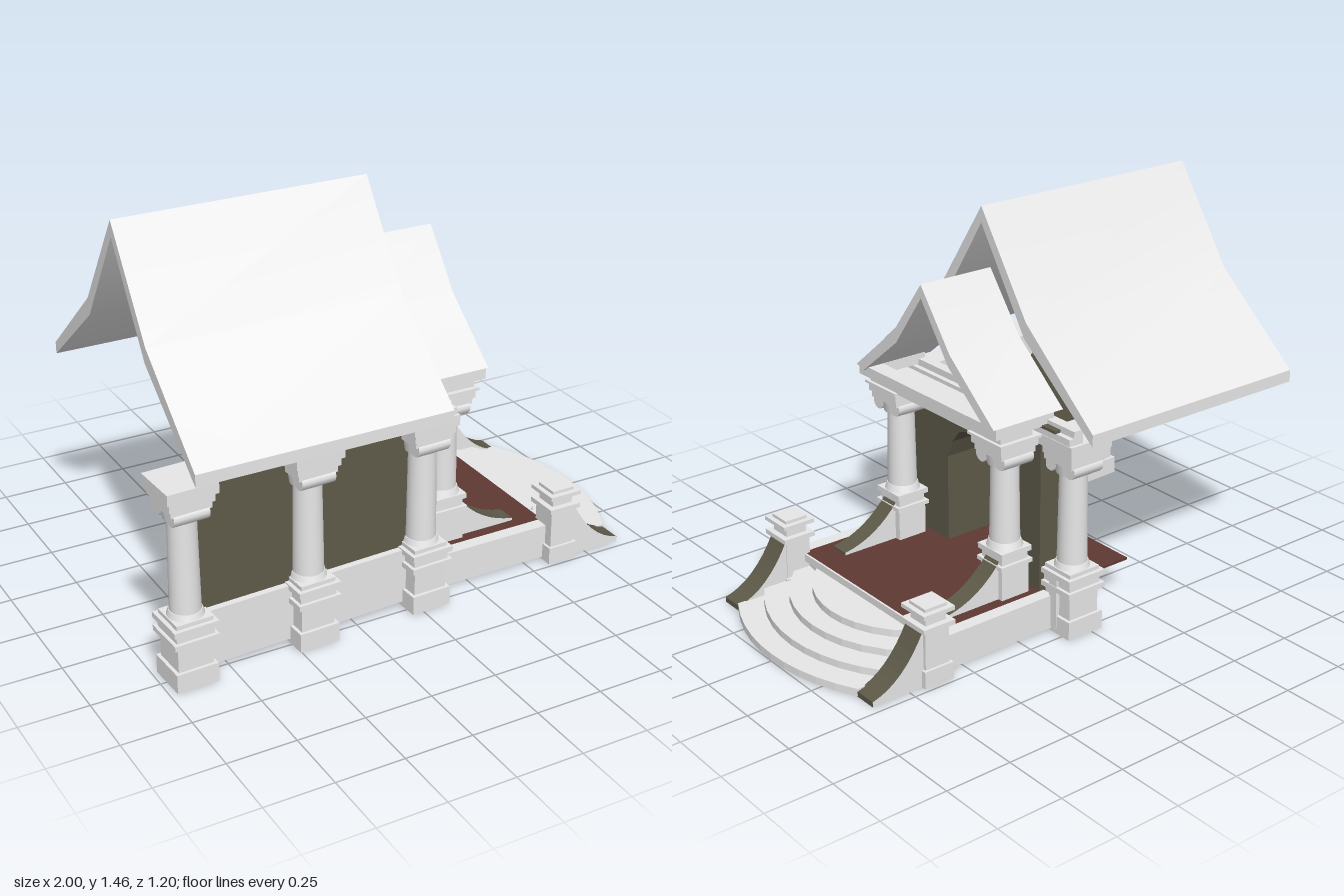
import * as THREE from 'three';
import { toCreasedNormals } from 'three/addons/utils/BufferGeometryUtils.js';

const stone = new THREE.MeshStandardMaterial({ color: 0xe7e7e7, side: THREE.DoubleSide });
const olive = new THREE.MeshStandardMaterial({ color: 0x5e5a49, side: THREE.DoubleSide });
const redFloor = new THREE.MeshStandardMaterial({ color: 0x603933, side: THREE.DoubleSide });
stone.name = 'pale stone';
olive.name = 'olive plaster';
redFloor.name = 'red floor';

function add(parent, name, geometry, material) {
  const mesh = new THREE.Mesh(geometry, material);
  mesh.name = name;
  parent.add(mesh);
  return mesh;
}

// Box given by its lower and upper limits on each axis
function box(parent, name, material, [x0, x1], [y0, y1], [z0, z1]) {
  const g = new THREE.BoxGeometry(x1 - x0, y1 - y0, z1 - z0);
  g.translate((x0 + x1) / 2, (y0 + y1) / 2, (z0 + z1) / 2);
  return add(parent, name, g, material);
}

// Centred square slab of a column or pillar
const slab = (parent, name, w, y0, y1) =>
  box(parent, name, stone, [-w / 2, w / 2], [y0, y1], [-w / 2, w / 2]);

const shapeOf = (points) => new THREE.Shape(points.map(([x, y]) => new THREE.Vector2(x, y)));

// Extrudes a (z, y) outline along x
function extrudeX(points, x0, x1) {
  const g = new THREE.ExtrudeGeometry(shapeOf(points), { depth: x1 - x0, bevelEnabled: false });
  g.rotateY(Math.PI / 2);
  g.translate(x0, 0, 0);
  return g;
}

// Completes a half outline that ends on the centre line
const mirrored = (half) => [...half, ...half.slice(0, -1).reverse().map(([z, y]) => [-z, y])];

// Band between two symmetric outlines
const band = (outer, inner) => [...mirrored(outer), ...mirrored(inner).reverse()];

// Column: square pedestal, round shaft and scrolled capital
function column(parent, name, x, z, pedestal, baseTop, capBottom) {
  const c = new THREE.Group();
  c.name = name;
  c.position.set(x, 0, z);
  pedestal.forEach(([w, y0, y1]) => slab(c, 'pedestal', w, y0, y1));
  const drum = (part, rTop, rBottom, y0, y1) => {
    const g = new THREE.CylinderGeometry(rTop, rBottom, y1 - y0, 20);
    g.translate(0, (y0 + y1) / 2, 0);
    add(c, part, g, stone);
  };
  drum('shaftFoot', 0.058, 0.066, baseTop - 0.025, baseTop);
  drum('shaft', 0.05, 0.055, baseTop, capBottom + 0.01);
  drum('capitalBell', 0.07, 0.062, capBottom, capBottom + 0.05);
  for (const s of [-1, 1]) {
    const scroll = new THREE.CylinderGeometry(0.03, 0.03, 0.13, 12);
    scroll.rotateZ(Math.PI / 2);
    scroll.translate(0, capBottom + 0.032, s * 0.05);
    add(c, 'capitalScroll', scroll, stone);
  }
  slab(c, 'capitalNeck', 0.15, capBottom + 0.045, capBottom + 0.07);
  slab(c, 'abacus', 0.165, capBottom + 0.07, capBottom + 0.1);
  slab(c, 'abacusTop', 0.185, capBottom + 0.1, 0.75);
  parent.add(c);
}

const mainPedestal = [
  [0.155, 0, 0.07], [0.13, 0.07, 0.165], [0.165, 0.165, 0.185], [0.14, 0.185, 0.215],
  [0.165, 0.215, 0.235], [0.135, 0.235, 0.25],
];
const porchPedestal = [
  [0.12, 0.14, 0.26], [0.14, 0.26, 0.275], [0.115, 0.275, 0.305], [0.135, 0.305, 0.325],
];

// Concave rail: stone cheeks and an olive sloping top
function rail(parent, name, x0, x1, yTop, yEnd, yBase, z, width) {
  const s = new THREE.Shape();
  s.moveTo(x0, yBase);
  s.lineTo(x1, yBase);
  s.lineTo(x1, yEnd);
  s.quadraticCurveTo(x0 + (x1 - x0) * 0.4, yEnd + (yTop - yEnd) * 0.15, x0, yTop);
  s.closePath();
  const g = new THREE.ExtrudeGeometry(s, { depth: width, bevelEnabled: false, curveSegments: 8 });
  g.translate(0, 0, z - width / 2);
  add(parent, name, g, [stone, olive]);
}

// Front edge of a step: circular arc clipped to the stair, as (x, z) points
function stepArc([reach, r]) {
  const half = Math.min(0.38, Math.sqrt(r * r - (r - reach + 0.6) ** 2));
  return Array.from({ length: 11 }, (_, k) => {
    const z = half * (k / 5 - 1);
    return [reach - r + Math.sqrt(r * r - z * z), z];
  });
}

export function createModel() {
  const model = new THREE.Group();
  model.name = 'pavilion';

  // Swept roofs with open gables, smooth over the bend
  const roof = (name, outer, inner, x0, x1) =>
    add(model, name, toCreasedNormals(extrudeX(band(outer, inner), x0, x1), 0.5), stone);
  roof('mainRoof',
    [[0.6, 0.8], [0.245, 1.1], [0, 1.46]],
    [[0.6, 0.755], [0.235, 1.04], [0, 1.4]], -0.89, 0.07);
  roof('porchRoof',
    [[0.4, 0.82], [0.16, 1.02], [0, 1.23]],
    [[0.36, 0.805], [0.15, 0.975], [0, 1.18]], 0.03, 0.335);

  // Long side: wall, plinth and colonnade on a slightly turned line
  const side = new THREE.Group();
  side.name = 'longSide';
  side.rotation.y = 0.043;
  model.add(side);
  box(side, 'sideWall', olive, [-0.88, 0.0], [0.23, 0.74], [0.425, 0.445]);
  box(side, 'sidePlinth', stone, [-0.96, 0.08], [0.02, 0.23], [0.42, 0.47]);
  box(side, 'sideCornice', stone, [-0.96, 0.05], [0.735, 0.75], [0.4, 0.47]);
  [-0.92, -0.45, 0.01].forEach((x) => column(side, 'sideColumn', x, 0.462, mainPedestal, 0.27, 0.61));

  // Single corner column on the other side
  column(model, 'cornerColumn', 0.03, -0.46, mainPedestal, 0.27, 0.61);
  box(model, 'cornerPlinth', stone, [-0.03, 0.11], [0.02, 0.23], [-0.47, -0.43]);

  // Thin door wall with an arched opening, a deep reveal and end returns
  const arch = [[0.14, 0.135], [0.14, 0.48], [0.11, 0.55], [0.07, 0.6], [0, 0.625]];
  const archRim = [[0.148, 0.135], [0.148, 0.483], [0.117, 0.556], [0.074, 0.608], [0, 0.633]];
  const wallEdge = [[0.39, 0.135], [0.39, 0.74], [0, 0.74]];
  add(model, 'doorWall', extrudeX(band(wallEdge, arch), 0.11, 0.12), olive);
  add(model, 'doorReveal', extrudeX(band(archRim, arch), -0.08, 0.11), olive);
  for (const s of [-1, 1]) {
    box(model, 'doorWallReturn', olive, [-0.08, 0.11], [0.135, 0.74], [s * 0.385 - 0.005, s * 0.385 + 0.005]);
    box(model, 'wallHead', olive, [0.1, 0.125], [0.775, 0.785], [s * 0.43 - 0.04, s * 0.43 + 0.04]);
  }

  // Beams over the porch
  box(model, 'rearBeam', stone, [0.06, 0.12], [0.74, 0.775], [-0.54, 0.54]);
  box(model, 'rearBeamTop', stone, [0.06, 0.1], [0.775, 0.8], [-0.54, 0.54]);
  box(model, 'frontBeam', stone, [0.15, 0.29], [0.745, 0.78], [-0.38, 0.38]);
  box(model, 'frontBeamTop', stone, [0.26, 0.325], [0.78, 0.82], [-0.4, 0.4]);

  // Floor and the wall beneath it
  box(model, 'floor', redFloor, [-0.3, 0.602], [0.131, 0.14], [-0.39, 0.39]);
  box(model, 'floorSupport', stone, [0.115, 0.13], [0.02, 0.13], [-0.42, 0.42]);

  // Porch sides, mirrored
  for (const s of [-1, 1]) {
    column(model, 'porchColumn', 0.21, s * 0.305, porchPedestal, 0.35, 0.64);
    box(model, 'porchBeam', stone, [0.07, 0.325], [0.78, 0.82], s > 0 ? [0.34, 0.4] : [-0.4, -0.34]);
    box(model, 'porchPlinth', stone, [0.1, 0.6], [0.01, 0.14], s > 0 ? [0.39, 0.44] : [-0.44, -0.39]);
    rail(model, 'porchRail', 0.26, 0.5, 0.295, 0.15, 0.137, s * 0.308, 0.075);
    rail(model, 'stairRail', 0.69, 0.9, 0.215, 0.02, 0, s * 0.42, 0.093);

    const pillar = new THREE.Group();
    pillar.name = 'stairPillar';
    pillar.position.set(0.637, 0, s * 0.425);
    [[0.12, 0, 0.065], [0.1, 0.065, 0.21], [0.13, 0.21, 0.228], [0.085, 0.228, 0.265],
      [0.13, 0.265, 0.28], [0.09, 0.28, 0.292]]
      .forEach(([w, y0, y1]) => slab(pillar, 'pillarBlock', w, y0, y1));
    model.add(pillar);
  }

  // Curved steps: each tread runs from its own arc back to the next one
  const steps = [[1.0, 0.77], [0.915, 0.62], [0.83, 0.5], [0.75, 0.39]];
  steps.forEach((step, i) => {
    const back = i < 3
      ? stepArc(steps[i + 1]).map(([x, z]) => [x - 0.006, z])
      : [[0.59, -0.38], [0.59, 0.38]];
    const corners = i < 3 ? [[0.59, -0.38], ...back, [0.59, 0.38]] : back;
    const g = new THREE.ExtrudeGeometry(shapeOf([...stepArc(step), ...corners.reverse()]),
      { depth: 0.028, bevelEnabled: false });
    g.rotateX(-Math.PI / 2);
    g.translate(0, 0.002 + i * 0.0275, 0);
    add(model, 'step', g, stone);
  });
  box(model, 'topRiser', stone, [0.602, 0.61], [0.11, 0.14], [-0.38, 0.38]);

  return model;
}
